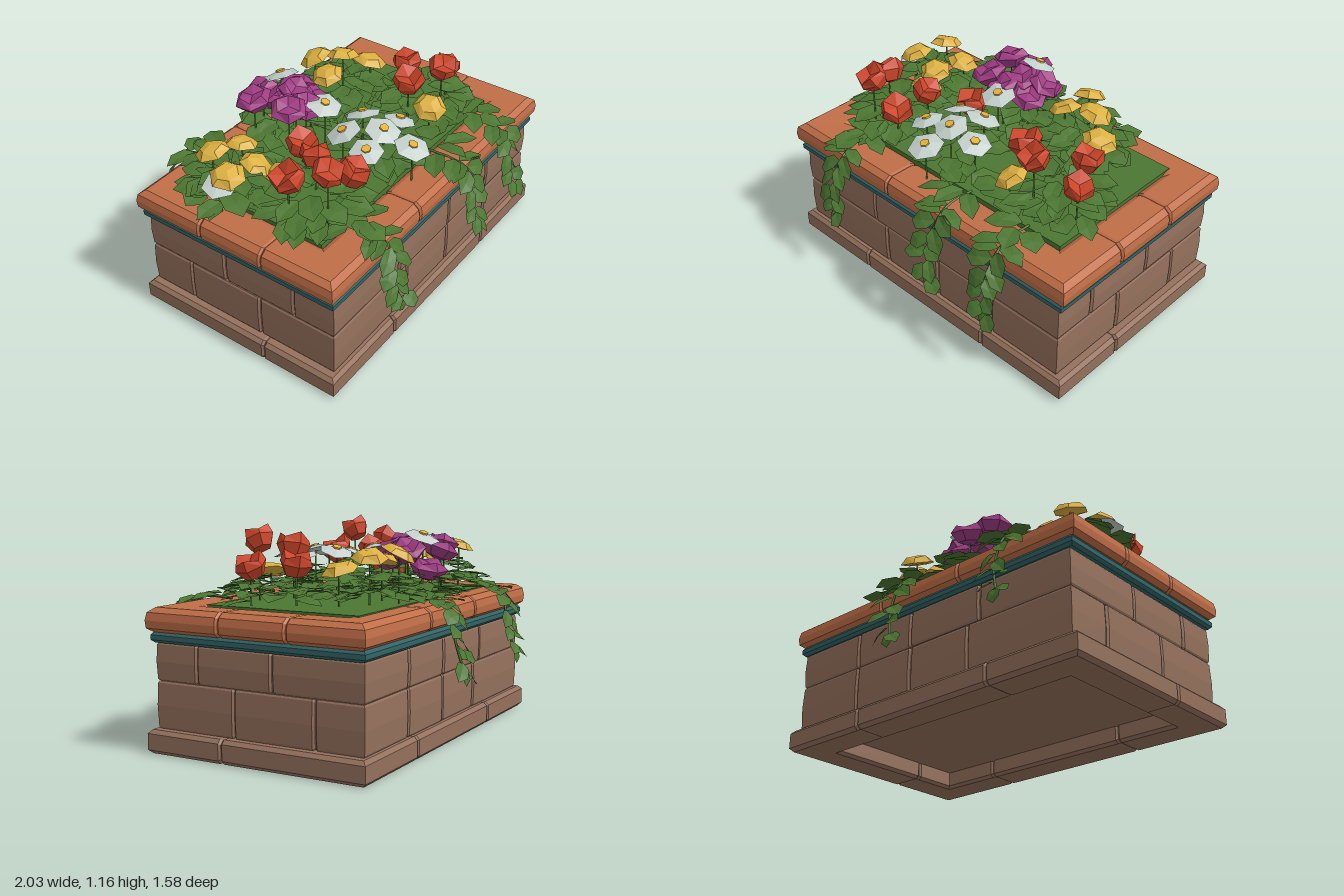
import * as THREE from 'three';
import { mergeGeometries } from 'three/addons/utils/BufferGeometryUtils.js';

const mat = (name, color, side = THREE.FrontSide) =>
  new THREE.MeshStandardMaterial({ name, color, side, flatShading: true });

let seed = 7;
const rnd = (a = 0, b = 1) => {
  seed = (seed * 16807) % 2147483647;
  return a + (b - a) * (seed / 2147483647);
};

function fromTriangles(pos) {
  const g = new THREE.BufferGeometry();
  g.setAttribute('position', new THREE.Float32BufferAttribute(pos, 3));
  g.computeVertexNormals();
  return g;
}

// One stone of a rectangular frame: a profile of [outward, y] points swept along a side.
// A null end is mitred at the corner; a numeric end is a bevelled seam.
function frameStone(halfLength, halfDepth, profile, t0, t1) {
  const n = profile.length, pos = [];
  const mo = profile.reduce((s, p) => s + p[0], 0) / n;
  const my = profile.reduce((s, p) => s + p[1], 0) / n;
  const ring = (t, inset, sign) => profile.map(([o, y]) => [
    t === null ? sign * (halfLength + o) : t,
    y - Math.sign(y - my) * inset * 0.6,
    halfDepth + o - Math.sign(o - mo) * inset,
  ]);
  const rings = [];
  if (t0 === null) rings.push(ring(null, 0, -1));
  else rings.push(ring(t0 + 0.001, 0.01), ring(t0 + 0.012, 0));
  if (t1 === null) rings.push(ring(null, 0, 1));
  else rings.push(ring(t1 - 0.012, 0), ring(t1 - 0.001, 0.01));
  for (let r = 0; r < rings.length - 1; r++) {
    for (let i = 0; i < n; i++) {
      const j = (i + 1) % n, A = rings[r], B = rings[r + 1];
      pos.push(...A[i], ...B[i], ...B[j], ...A[i], ...B[j], ...A[j]);
    }
  }
  const S = rings[0], E = rings[rings.length - 1];
  for (let i = 1; i < n - 1; i++) {
    pos.push(...S[0], ...S[i], ...S[i + 1], ...E[0], ...E[i + 1], ...E[i]);
  }
  return fromTriangles(pos);
}

// Four sides of stones; seams lists the cuts for front, right, back and left
function frame(name, X, Z, profile, seams, material, jitter = 0) {
  const parts = [];
  seams.forEach((cuts, k) => {
    const ends = [null, ...cuts, null];
    for (let i = 0; i < ends.length - 1; i++) {
      const push = ends[i] !== null && ends[i + 1] !== null ? rnd(-jitter, jitter) : 0;
      const prof = profile.map(([o, y]) => [o + push, y]);
      const [L, D] = k % 2 ? [Z, X] : [X, Z];
      parts.push(frameStone(L, D, prof, ends[i], ends[i + 1]).rotateY(k * Math.PI / 2));
    }
  });
  const mesh = new THREE.Mesh(mergeGeometries(parts), material);
  mesh.name = name;
  return mesh;
}

// Broad leaf along +z, folded on its midrib, drooping to a blunt tip
function leafGeometry(length, width, droop = 0.08) {
  const P = (x, y, z) => [x * width, y * length, z * length];
  const a = P(0, 0, 0), m = P(0, 0.02, 0.55), tip = P(0, -droop, 1), pos = [];
  for (const s of [1, -1]) {
    const b = P(s * 0.44, 0.07, 0.22), c = P(s * 0.5, 0.04, 0.68);
    const tris = [[a, m, b], [b, m, c], [c, m, tip]];
    for (const [p, q, r] of tris) pos.push(...p, ...(s > 0 ? q : r), ...(s > 0 ? r : q));
  }
  return fromTriangles(pos);
}

const place = (g, x, y, z, yaw, pitch = 0, roll = 0) =>
  g.applyMatrix4(new THREE.Matrix4().makeRotationFromEuler(new THREE.Euler(pitch, yaw, roll, 'YXZ')).setPosition(x, y, z));

// Cup, dome and disc blooms share one faceted lathe; the rim may zigzag
function bloom({ profile, sides, zig }) {
  const g = new THREE.LatheGeometry(profile.map(([r, y]) => new THREE.Vector2(r, y)), sides);
  const p = g.attributes.position, n = profile.length;
  for (let i = 0; i < p.count; i++) {
    const rim = i % n === n - 2;
    if (rim && Math.floor(i / n) % 2) p.setY(i, p.getY(i) - zig);
  }
  const out = g.toNonIndexed();
  out.deleteAttribute('uv');
  out.computeVertexNormals();
  return out;
}

// Lathe profile and range of tilt for each kind of bloom
const kinds = {
  tulip: { profile: [[0, -0.07], [0.055, -0.06], [0.088, 0], [0.075, 0.06], [0, 0.02]], sides: 6, zig: 0.03, tilt: [0.2, 0.6] },
  pompom: { profile: [[0, -0.06], [0.065, -0.04], [0.1, 0.01], [0.068, 0.05], [0, 0.03]], sides: 6, zig: 0.02, tilt: [0.2, 0.6] },
  buttercup: { profile: [[0, -0.02], [0.06, -0.022], [0.095, -0.015], [0.06, 0.022], [0, 0.028]], sides: 6, zig: 0.008, tilt: [0.25, 0.5] },
  daisy: { profile: [[0, -0.012], [0.06, -0.014], [0.095, -0.01], [0, 0.014]], sides: 6, zig: 0.004, tilt: [0.25, 0.4] },
};

// x, y, z of every bloom
const beds = {
  tulip: [[-.72, 1.02, .16], [-.45, .98, .12], [-.64, 1.08, .34], [-.44, .97, .35], [.59, .97, -.01],
    [.33, 1.04, .17], [.7, .96, .19], [.49, 1.08, .28], [-.3, .88, -.08]],
  buttercup: [[-.74, 1, -.31], [-.82, .97, -.14], [-.56, .96, -.27], [-.63, .94, -.11], [-.58, .91, 0],
    [.26, 1.02, -.42], [.2, .98, -.29], [.39, 1.01, -.32], [.51, .95, -.21], [.35, .91, .3]],
  pompom: [[-.3, 1.03, -.4], [-.17, 1.01, -.45], [-.27, 1.03, -.19], [-.1, 1.03, -.28], [-.15, 1, -.17],
    [0, 1.01, -.34], [-.02, .97, -.24], [-.07, .91, -.43]],
  daisy: [[-.08, 1.09, -.39], [-.1, 1.02, -.08], [-.2, .98, .11], [-.02, 1, .11], [-.26, .97, .3],
    [-.09, 1, .29], [.08, .97, .28], [-.09, .97, .47], [-.86, .93, -.16]],
};

// Leaf clumps: x, z, spread, count
const clumps = [[-.7, -.22, .25, 34], [-.6, .22, .26, 36], [-.1, -.32, .22, 26], [-.08, .23, .18, 18],
  [.33, -.28, .28, 40], [.55, .14, .25, 34], [.17, .44, .12, 8], [-.53, -.45, .12, 9],
  [.14, -.45, .12, 7], [-.58, .44, .12, 7], [.57, .42, .1, 6]];

export function createModel() {
  const group = new THREE.Group();
  const both = THREE.DoubleSide;
  const stone = mat('brown stone', 0x95715d), clay = mat('terracotta', 0xc06e47);
  const teal = mat('teal band', 0x336567), green = mat('leaf green', 0x4c7632, both);
  const petals = {
    tulip: mat('red petals', 0xcb4529, both), buttercup: mat('yellow petals', 0xdcb041, both),
    pompom: mat('purple petals', 0xa03c84, both), daisy: mat('white petals', 0xc6d2ce, both),
  };
  const gold = mat('gold flower centre', 0xe4b23a);
  const add = (name, geometry, material) => {
    const m = new THREE.Mesh(geometry, material);
    m.name = name;
    group.add(m);
  };

  // Plinth, two courses of bricks, mortar core, band and coping
  const plinth = [[-0.2, 0.02], [-0.18, 0.005], [-0.02, 0.005], [0, 0.025], [0, 0.11], [-0.02, 0.13], [-0.2, 0.13]];
  group.add(frame('plinth', 1, 0.63, plinth, [[-.45, .45], [-.18], [-.45, .45], [.18]], stone));
  const course = (y0, y1) => [[-0.13, y0], [-0.006, y0], [0, y0 + 0.01], [0.004, (y0 + y1) / 2], [0, y1 - 0.01], [-0.006, y1], [-0.13, y1]];
  group.add(frame('lowerBricks', 0.947, 0.597, course(0.13, 0.377),
    [[-.3, .1, .5], [-.13, .33], [-.5, -.1, .3], [-.33, .13]], stone, 0.005));
  group.add(frame('upperBricks', 0.947, 0.597, course(0.379, 0.575),
    [[-.38, .1, .5], [-.35, .09], [-.5, -.1, .38], [-.09, .35]], stone, 0.005));
  const core = [[-0.14, 0.1], [-0.02, 0.1], [-0.02, 0.6], [-0.14, 0.6]];
  group.add(frame('mortarCore', 0.945, 0.595, core, [[], [], [], []], stone));
  add('innerFloor', new THREE.BoxGeometry(1.64, 0.03, 0.9).translate(0, 0.115, 0), stone);
  const band = [[-0.2, 0.575], [-0.015, 0.575], [0, 0.59], [0, 0.615], [-0.015, 0.635], [-0.2, 0.635]];
  group.add(frame('tealBand', 0.975, 0.615, band, [[], [], [], []], teal));
  const coping = [[-0.22, 0.63], [-0.03, 0.63], [-0.004, 0.65], [0, 0.69], [-0.008, 0.73], [-0.04, 0.755], [-0.19, 0.752], [-0.22, 0.735]];
  group.add(frame('coping', 1, 0.63, coping, [[-.24], [-.19, .2], [-.31, .25], [-.2, .19]], clay));

  // Green bed
  add('plantBed', new THREE.BoxGeometry(1.56, 0.13, 0.88).translate(0, 0.694, -0.035), green);

  // Rosettes of leaves, highest in the middle of each clump
  const leaves = [];
  for (const [cx, cz, spread, count] of clumps) {
    for (let i = 0; i < count; i++) {
      const a = i * 2.4 + rnd(-0.3, 0.3), r = spread * Math.sqrt((i + 0.5) / count);
      const y = 0.78 + (spread > 0.13 ? 0.13 : 0.03) * (1 - r / spread) + rnd(0, 0.03);
      leaves.push(place(leafGeometry(rnd(0.14, 0.2), rnd(0.09, 0.14)),
        cx + r * Math.sin(a) * 0.7, y, cz + r * Math.cos(a) * 0.65, a + rnd(-0.7, 0.7), rnd(-0.15, 0.1), rnd(-0.22, 0.22)));
    }
  }
  add('leaves', mergeGeometries(leaves), green);

  // Trailing vines over the rim: x, side, lowest y; built to the front, then turned
  const vines = [];
  for (const [vx, s, low] of [[-.58, 1, .36], [.17, 1, .35], [.57, 1, .35], [-.58, -1, .36], [.14, -1, .35]]) {
    const x = vx * s, turn = s > 0 ? 0 : Math.PI;
    const curve = new THREE.CatmullRomCurve3([
      [x, .77, .4], [x, .775, .56], [x + .01, .74, .65], [x - .02, .58, .69], [x + .02, low + .06, .725],
    ].map((p) => new THREE.Vector3(...p)));
    const stem = new THREE.TubeGeometry(curve, 14, 0.008, 4).toNonIndexed();
    stem.deleteAttribute('uv');
    vines.push(stem.rotateY(turn));
    for (let i = 0; i < 12; i++) {
      const p = curve.getPoint(0.25 + 0.75 * i / 11), sideways = i % 2 ? 1 : -1, hanging = p.y < 0.76;
      const leaf = place(leafGeometry(rnd(0.15, 0.18) - i * 0.005, rnd(0.07, 0.1)), p.x, p.y, p.z + 0.01,
        sideways * rnd(0.9, 1.4), hanging ? rnd(0.2, 0.8) : rnd(0, 0.1), hanging ? sideways * rnd(0.5, 1) : 0);
      vines.push(leaf.rotateY(turn));
    }
    vines.push(place(leafGeometry(0.09, 0.08), x + .02, low + .07, .725, 0, 1.3).rotateY(turn));
  }
  add('trailingVines', mergeGeometries(vines), green);

  // Blooms on thin stems, leaning away from the middle of the nearest clump
  const stems = [];
  for (const [kind, spots] of Object.entries(beds)) {
    const heads = [], centres = [];
    for (const [x, y, z] of spots) {
      const dist = (c) => Math.hypot(x - c[0], z - c[1]);
      const [cx, cz] = clumps.slice(0, 6).reduce((best, c) => (dist(c) < dist(best) ? c : best));
      const lean = Math.atan2(x - cx, z - cz), tilt = rnd(...kinds[kind].tilt), size = rnd(0.95, 1.08);
      heads.push(place(bloom(kinds[kind]).scale(size, size, size).rotateY(rnd(0, 6.28)), x, y, z, lean, tilt));
      if (kind === 'daisy') {
        const c = new THREE.CylinderGeometry(0.026, 0.026, 0.009, 6).translate(0, 0.013, 0);
        centres.push(place(c, x, y, z, lean, tilt));
      }
      stems.push(new THREE.CylinderGeometry(0.005, 0.006, y - 0.77, 4).translate(x, (y + 0.73) / 2, z));
    }
    add(kind + 'Blooms', mergeGeometries(heads), petals[kind]);
    if (centres.length) add('daisyCentres', mergeGeometries(centres), gold);
  }
  add('stems', mergeGeometries(stems), green);
  return group;
}
